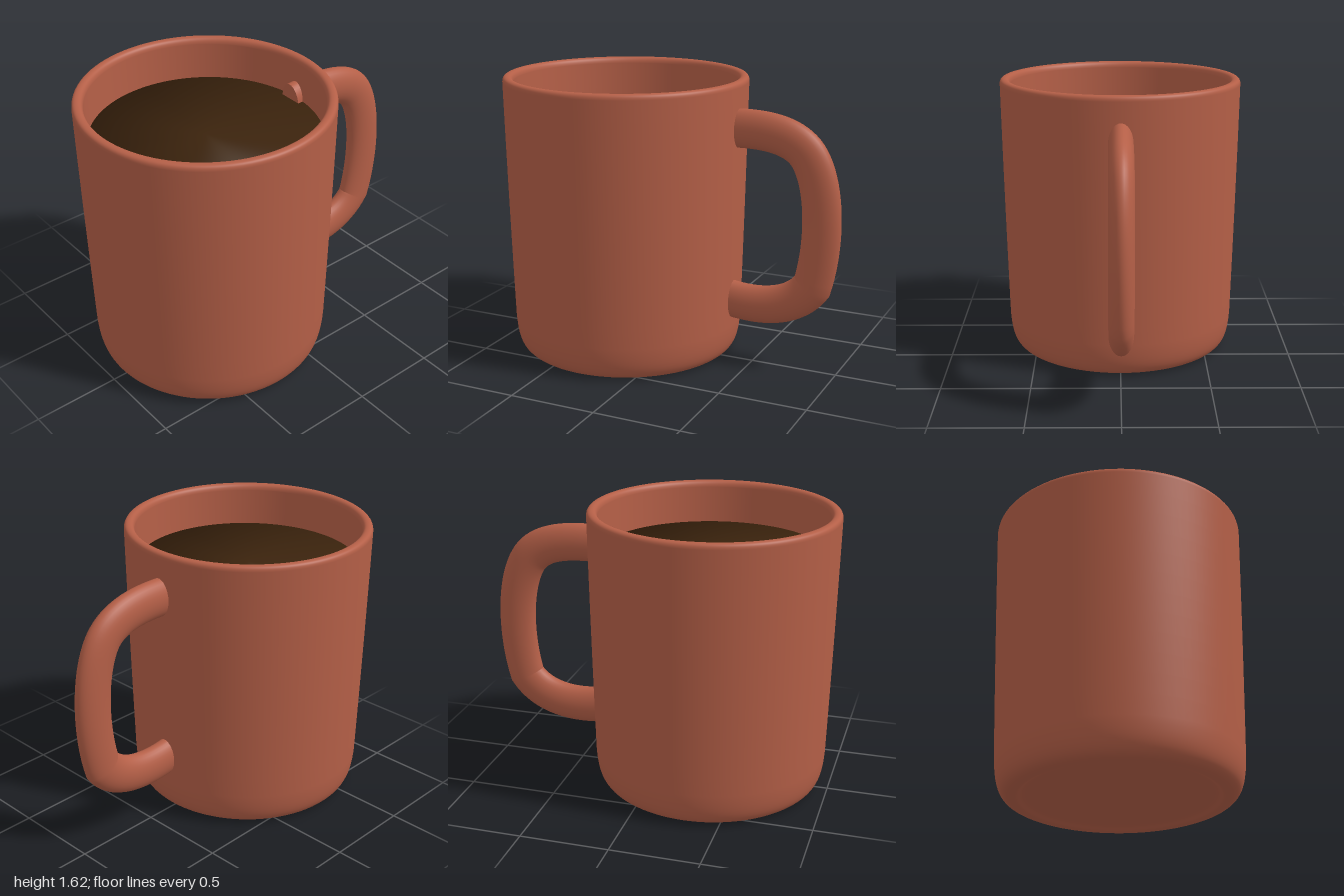
import * as THREE from 'three';
import { mergeVertices } from 'three/addons/utils/BufferGeometryUtils.js';

const v = (x, y) => new THREE.Vector2(x, y);
const SIDES = 32;
const HALF_HEIGHT = 0.11; // handle section in the x-y plane
const HALF_WIDTH = 0.068; // handle section along z

// Rings of an elliptical section swept along frames { p, n } in the x-y plane
function sweep(frames) {
  const positions = [], index = [];
  frames.forEach(({ p, n }, i) => {
    for (let j = 0; j < SIDES; j++) {
      const a = (j / SIDES) * Math.PI * 2;
      const r = Math.cos(a) * HALF_HEIGHT;
      positions.push(p.x + n.x * r, p.y + n.y * r, Math.sin(a) * HALF_WIDTH);
      if (i === frames.length - 1) continue;
      const A = i * SIDES + j, B = i * SIDES + ((j + 1) % SIDES);
      index.push(A, B, A + SIDES, B, B + SIDES, A + SIDES);
    }
  });
  const g = new THREE.BufferGeometry();
  g.setAttribute('position', new THREE.Float32BufferAttribute(positions, 3));
  g.setIndex(index);
  g.computeVertexNormals();
  return g;
}

// Points and outward normals along one curve
function framesOf(curve, count) {
  return Array.from({ length: count + 1 }, (_, i) => {
    const t = curve.getTangent(i / count);
    return { p: curve.getPoint(i / count), n: v(-t.y, t.x) };
  });
}

export function createModel() {
  const clay = new THREE.MeshStandardMaterial({ color: 0xb45f47 });
  clay.name = 'terracotta glaze';
  const coffeeBrown = new THREE.MeshStandardMaterial({ color: 0x3b230d });
  coffeeBrown.name = 'dark coffee';

  const group = new THREE.Group();
  group.name = 'mug';
  const add = (name, geometry, material, x = 0, y = 0) => {
    const mesh = new THREE.Mesh(geometry, material);
    mesh.name = name;
    mesh.position.set(x, y, 0);
    group.add(mesh);
    return mesh;
  };

  // Cup wall: recessed foot, rounded base, tapered side, rounded rim, inside
  const profile = new THREE.Path();
  profile.moveTo(0, 0.025);
  profile.lineTo(0.47, 0.025);
  profile.bezierCurveTo(0.535, 0.025, 0.53, 0, 0.565, 0);
  profile.bezierCurveTo(0.635, 0.002, 0.662, 0.05, 0.67, 0.2);
  profile.bezierCurveTo(0.682, 0.65, 0.692, 1.1, 0.7, 1.585);
  profile.quadraticCurveTo(0.7, 1.616, 0.672, 1.616);
  profile.quadraticCurveTo(0.643, 1.616, 0.64, 1.58);
  profile.lineTo(0.61, 0.25);
  profile.quadraticCurveTo(0.605, 0.1, 0.48, 0.1);
  profile.lineTo(0, 0.1);
  add('cup', new THREE.LatheGeometry(profile.getPoints(12), 96), clay, -0.3);

  // Coffee: a flat-topped fill shaded smoothly over its edge
  let fill = new THREE.CylinderGeometry(0.636, 0.622, 0.6, 96);
  fill.deleteAttribute('normal');
  fill.deleteAttribute('uv');
  fill = mergeVertices(fill);
  fill.computeVertexNormals();
  add('coffee', fill, coffeeBrown, -0.3, 1.07);

  // Handle: upper bend, grip and lower bend, with a soft corner below the grip
  const top = framesOf(new THREE.CubicBezierCurve(
    v(0.3, 1.355), v(0.55, 1.375), v(0.735, 1.35), v(0.81, 1.225)), 20);
  const grip = framesOf(new THREE.CubicBezierCurve(
    v(0.81, 1.225), v(0.905, 1.07), v(0.912, 0.75), v(0.845, 0.505)), 20);
  const bottom = framesOf(new THREE.CubicBezierCurve(
    v(0.845, 0.505), v(0.75, 0.365), v(0.55, 0.32), v(0.3, 0.375)), 24);

  // Mitre the corner between grip and lower bend
  const gripEnd = grip.at(-1);
  const mitre = gripEnd.n.clone().add(bottom[0].n).normalize();
  gripEnd.n = mitre.divideScalar(mitre.dot(gripEnd.n));
  add('handle', sweep([...top, ...grip.slice(1), ...bottom.slice(1)]), clay);

  // End caps inside the cup
  for (const [name, { p, n }] of [['handleTopCap', top[0]], ['handleBottomCap', bottom.at(-1)]]) {
    const cap = new THREE.CircleGeometry(1, SIDES)
      .scale(HALF_WIDTH, HALF_HEIGHT, 1).rotateY(-Math.PI / 2);
    const side = Math.sign(n.y);
    add(name, cap, clay, p.x, p.y).rotation.z = Math.atan2(-n.x * side, n.y * side);
  }
  return group;
}
